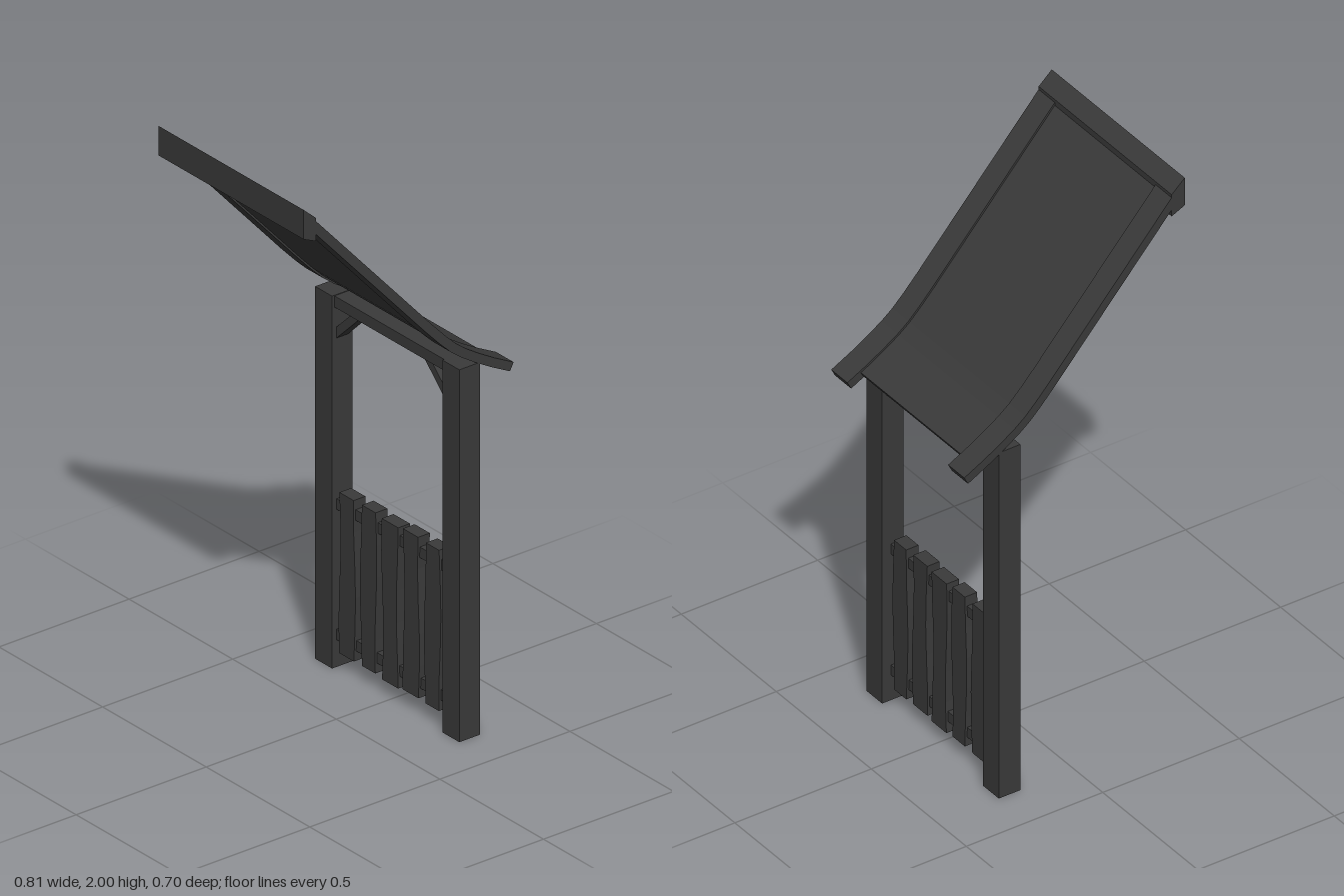
import * as THREE from 'three';

const material = new THREE.MeshStandardMaterial({ color: 0x3a3a3a, flatShading: true });

function add(parent, name, geometry) {
  const mesh = new THREE.Mesh(geometry, material);
  mesh.name = name;
  parent.add(mesh);
  return mesh;
}

// Box given by its limits on each axis
function beam(parent, name, [x0, x1], [y0, y1], [z0, z1]) {
  const geometry = new THREE.BoxGeometry(x1 - x0, y1 - y0, z1 - z0);
  geometry.translate((x0 + x1) / 2, (y0 + y1) / 2, (z0 + z1) / 2);
  return add(parent, name, geometry);
}

// Side profile in x and y, extruded along z
function slab(parent, name, points, z0, z1) {
  const geometry = new THREE.ExtrudeGeometry(new THREE.Shape(points), { depth: z1 - z0, bevelEnabled: false });
  geometry.translate(0, 0, z0);
  return add(parent, name, geometry);
}

// Upper line of the roof: straight slope flaring out at the eaves
const slope = [
  [-0.365, 1.955], [0.09, 1.45], [0.14, 1.397], [0.18, 1.358],
  [0.22, 1.327], [0.27, 1.295], [0.33, 1.26], [0.403, 1.222],
].map(([x, y]) => new THREE.Vector2(x, y));

// Band following the slope between two depths below it, cut off at xEnd
function roofProfile(top, bottom, xEnd) {
  const line = slope.filter((p) => p.x < xEnd - 0.01);
  const a = line[line.length - 1];
  const b = slope[line.length];
  line.push(a.clone().lerp(b, (xEnd - a.x) / (b.x - a.x)));
  const offset = (depth) => line.map((p, i) => {
    const t = line[Math.min(i + 1, line.length - 1)].clone().sub(line[Math.max(i - 1, 0)]).normalize();
    return new THREE.Vector2(p.x + t.y * depth, p.y - t.x * depth);
  });
  return [...offset(bottom), ...offset(top).reverse()];
}

// Rough-hewn gate plank with slightly wavering edges
function plank(parent, z, i) {
  const geometry = new THREE.BoxGeometry(0.045, 0.545, 0.072, 1, 5, 1);
  const pos = geometry.attributes.position;
  for (let k = 0; k < pos.count; k++) {
    const side = Math.sign(pos.getZ(k));
    const wave = 0.005 * Math.sin(pos.getY(k) * 11 + i * 1.9 + side);
    pos.setZ(k, pos.getZ(k) + wave);
  }
  geometry.computeVertexNormals();
  geometry.translate(0.228, 0.33 + 0.004 * Math.sin(i * 2.3), z);
  add(parent, 'gatePlank', geometry);
}

export function createModel() {
  const model = new THREE.Group();
  model.name = 'roofedGate';

  // Roof panel, edge boards and ridge board
  const roof = new THREE.Group();
  roof.name = 'roof';
  model.add(roof);
  slab(roof, 'roofPanel', roofProfile(0.007, 0.024, 0.357), -0.267, 0.267);
  for (const z of [-0.35, 0.265]) slab(roof, 'roofEdgeBoard', roofProfile(0, 0.03, 0.403), z, z + 0.085);
  const ridge = [[-0.405, 1.9], [-0.357, 1.878], [-0.357, 1.957], [-0.405, 2]];
  slab(roof, 'ridgeBoard', ridge.map(([x, y]) => new THREE.Vector2(x, y)), -0.35, 0.35);

  // Posts with corner braces
  const frame = new THREE.Group();
  frame.name = 'frame';
  model.add(frame);
  for (const s of [-1, 1]) {
    beam(frame, 'post', [0.196, 0.275], [0, 1.262], [s * 0.307 - 0.041, s * 0.307 + 0.041]);
    const brace = add(frame, 'cornerBrace', new THREE.BoxGeometry(0.045, 0.19, 0.027));
    brace.position.set(0.235, 1.18, s * 0.218);
    brace.rotation.x = -s * 0.8;
  }
  beam(frame, 'topBeam', [0.205, 0.262], [1.222, 1.26], [-0.27, 0.27]);

  // Gate
  const gate = new THREE.Group();
  gate.name = 'gate';
  model.add(gate);
  for (const y of [0.11, 0.552]) beam(gate, 'gateRail', [0.213, 0.243], [y - 0.018, y + 0.018], [-0.27, 0.27]);
  for (let i = 0; i < 5; i++) plank(gate, 0.206 - i * 0.103, i);

  return model;
}
